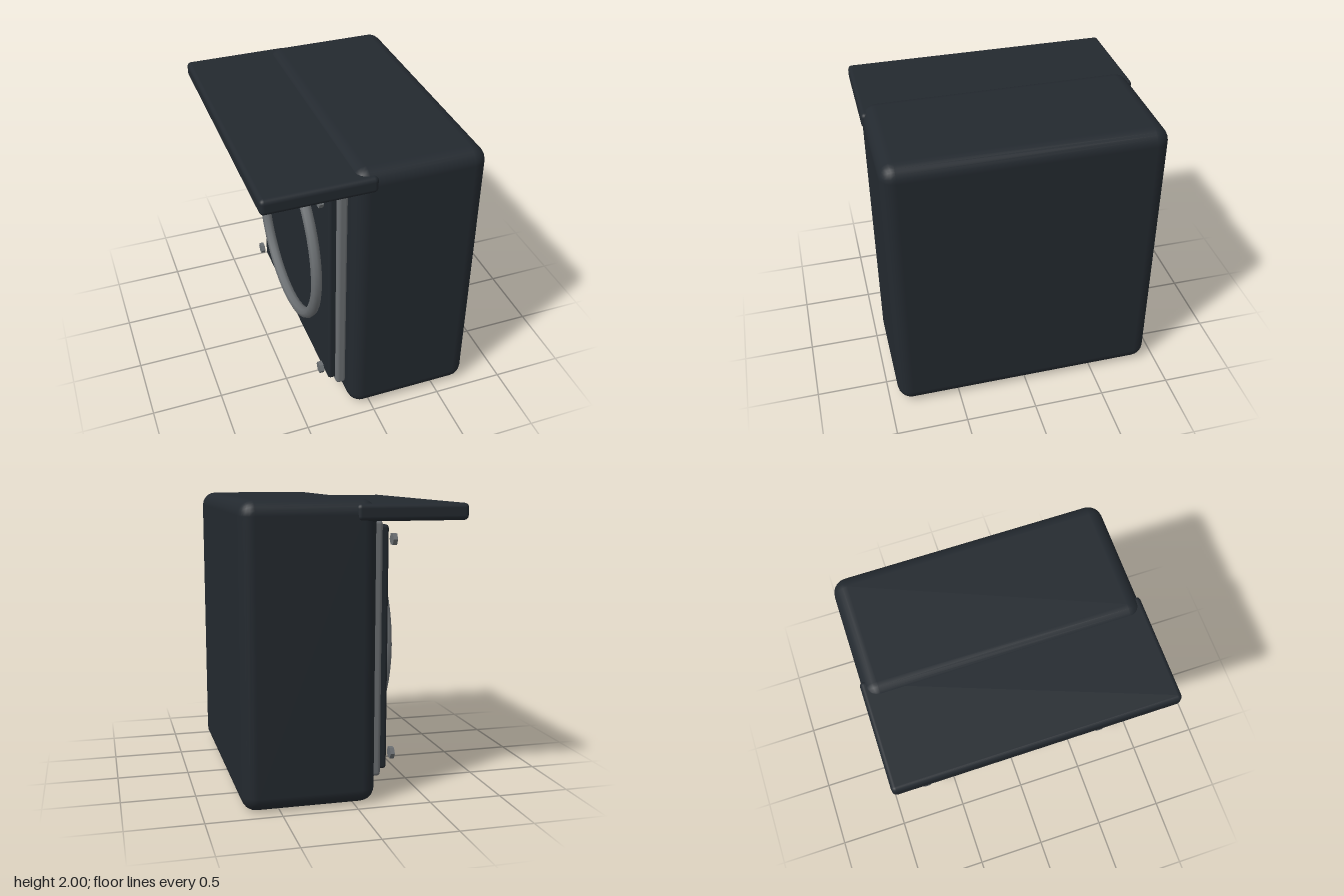
import * as THREE from 'three';
import { RoundedBoxGeometry } from 'three/addons/geometries/RoundedBoxGeometry.js';

export function createModel() {
  const model = new THREE.Group();
  const dark = new THREE.MeshStandardMaterial({ color: 0x23292f });
  const metal = new THREE.MeshStandardMaterial({ color: 0x6b6f72 });
  const metalFlat = new THREE.MeshStandardMaterial({ color: 0x6b6f72, flatShading: true });

  const add = (name, geometry, material, x, y, z = 0) => {
    const mesh = new THREE.Mesh(geometry, material);
    mesh.name = name;
    mesh.position.set(x, y, z);
    model.add(mesh);
    return mesh;
  };

  // Bevelled block between two x and two y limits, centred on z
  const block = (name, material, x0, x1, y0, y1, depth, bevel, segments) =>
    add(name, new RoundedBoxGeometry(x1 - x0, y1 - y0, depth, segments, bevel),
      material, (x0 + x1) / 2, (y0 + y1) / 2);

  // Housing and the overhanging hood on its open side
  block('housing', dark, -0.15, 0.745, 0, 2, 1.87, 0.1, 3);
  block('hood', dark, -0.75, 0, 1.86, 1.97, 1.89, 0.03, 3);

  // Stacked face plates
  block('rimPlate', metal, -0.215, -0.14, 0.14, 1.86, 1.61, 0.025, 3);
  block('facePlate', dark, -0.265, -0.2, 0.18, 1.83, 1.55, 0.022, 3);

  // Round lens ring
  const ring = new THREE.TorusGeometry(0.63, 0.04, 8, 48);
  ring.rotateY(Math.PI / 2);
  add('lensRing', ring, metal, -0.3, 1);

  // Hexagonal bolt heads at the four corners
  const bolt = new THREE.CylinderGeometry(0.043, 0.043, 0.03, 6);
  bolt.rotateZ(Math.PI / 2);
  for (const y of [0.278, 1.732])
    for (const z of [-0.73, 0.73]) add('bolt', bolt, metalFlat, -0.31, y, z);

  return model;
}
